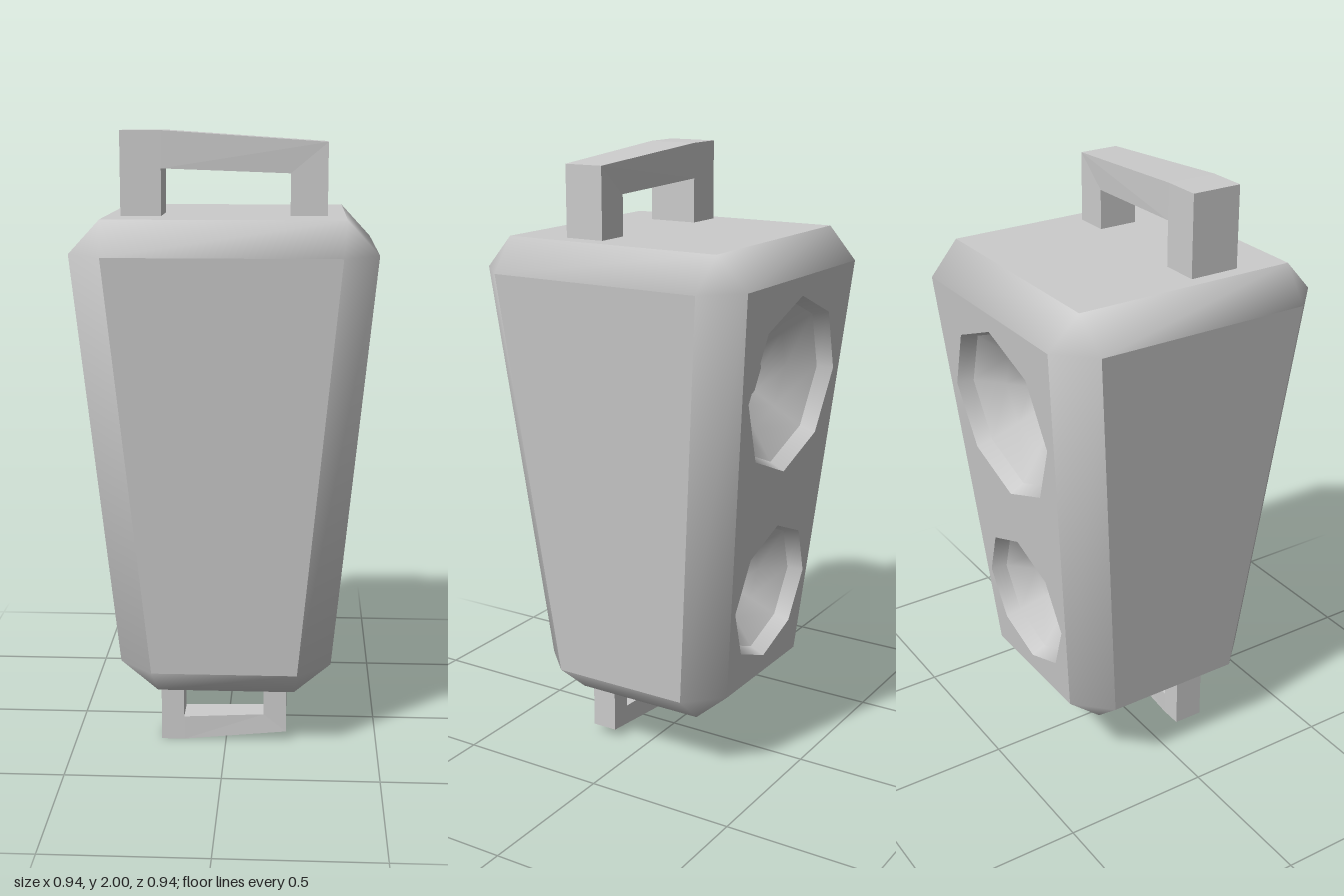
import * as THREE from 'three';
import { mergeVertices } from 'three/addons/utils/BufferGeometryUtils.js';

const grey = new THREE.MeshStandardMaterial({ color: 0xcccccc });
const greyDouble = new THREE.MeshStandardMaterial({ color: 0xcccccc, side: THREE.DoubleSide });

// Cabinet sizes: height, flat half width, outer half depth
const TOP = { y: 1.74, a: 0.372, b: 0.372 };
const UPPER = { y: 1.635, a: 0.36, b: 0.47 };
const LOWER = { y: 0.285, a: 0.235, b: 0.345 };
const BASE = { y: 0.18, a: 0.225, b: 0.225 };

function mesh(name, geometry, material = grey) {
  const m = new THREE.Mesh(geometry, material);
  m.name = name;
  return m;
}

// Eight-point ring of a square with cut corners
function ring({ y, a, b }) {
  const pts = [];
  for (let k = 0; k < 4; k++) {
    for (const [x, z] of [[-a, b], [a, b]]) {
      const c = [1, 0, -1, 0][k], s = [0, 1, 0, -1][k];
      pts.push(x * c + z * s, y, -x * s + z * c);
    }
  }
  return pts;
}

// Smooth bevels: top band, four corner strips, bottom band
function bevelGeometry() {
  const index = [];
  for (let level = 0; level < 3; level++) {
    for (let i = 0; i < 8; i++) {
      if (level === 1 && i % 2 === 0) continue; // flat panels go here
      const a = level * 8 + i, b = level * 8 + (i + 1) % 8;
      index.push(a, b, b + 8, a, b + 8, a + 8);
    }
  }
  let g = new THREE.BufferGeometry();
  const pos = [BASE, LOWER, UPPER, TOP].flatMap(ring);
  g.setAttribute('position', new THREE.Float32BufferAttribute(pos, 3));
  g.setIndex(index);
  g = mergeVertices(g);
  g.computeVertexNormals();
  return g;
}

function octagon(r, y) {
  const p = new THREE.Path();
  for (let i = 0; i <= 8; i++) {
    const t = (i * Math.PI) / 4;
    const x = r * Math.sin(t), v = y + r * Math.cos(t);
    if (i === 0) p.moveTo(x, v);
    else p.lineTo(x, v);
  }
  return p;
}

// Recessed eight-sided speaker: rim, cone and centre disc
function speaker(name, r, inner) {
  const g = new THREE.Group();
  g.name = name;
  const lathe = (pts) => new THREE.LatheGeometry(pts.map(([x, y]) => new THREE.Vector2(x, y)), 8).rotateX(Math.PI / 2);
  const lip = r * 0.93;
  const mid = (lip + inner) / 2 - 0.01;
  g.add(mesh('speakerRim', lathe([[r, 0], [lip, -0.05]]), greyDouble));
  g.add(mesh('speakerCone', lathe([[lip, -0.05], [mid, -0.12], [inner, -0.17]]), greyDouble));
  const disc = mesh('speakerCentre', new THREE.CircleGeometry(inner, 8));
  disc.position.z = -0.17;
  g.add(disc);
  return g;
}

// Handle outline extruded, with its depth shrinking from x0 to x1
function handle(name, points, z, half0, half1, x0, x1) {
  const shape = new THREE.Shape(points.map(([x, y]) => new THREE.Vector2(x, y)));
  const g = new THREE.ExtrudeGeometry(shape, { depth: 2, bevelEnabled: false }).translate(0, 0, -1);
  const p = g.attributes.position;
  for (let i = 0; i < p.count; i++) {
    const t = THREE.MathUtils.clamp((p.getX(i) - x0) / (x1 - x0), 0, 1);
    p.setZ(i, z + p.getZ(i) * THREE.MathUtils.lerp(half0, half1, t));
  }
  g.computeVertexNormals();
  return mesh(name, g);
}

export function createModel() {
  const model = new THREE.Group();
  model.name = 'hangingSpeaker';
  model.add(mesh('cabinetBevels', bevelGeometry()));

  // Top and bottom plates
  const top = mesh('topPlate', new THREE.PlaneGeometry(TOP.a * 2, TOP.a * 2).rotateX(-Math.PI / 2));
  top.position.y = TOP.y;
  const base = mesh('bottomPlate', new THREE.PlaneGeometry(BASE.a * 2, BASE.a * 2).rotateX(Math.PI / 2));
  base.position.y = BASE.y;
  model.add(top, base);

  // Four leaning side panels; the back one carries two speakers
  const rise = UPPER.y - LOWER.y, lean = UPPER.b - LOWER.b;
  const height = Math.hypot(rise, lean);
  const speakers = [
    { name: 'largeSpeaker', y: 1.006, r: 0.288, inner: 0.102 },
    { name: 'smallSpeaker', y: 0.296, r: 0.235, inner: 0.07 },
  ];
  ['frontPanel', 'leftPanel', 'backPanel', 'rightPanel'].forEach((name, k) => {
    const side = new THREE.Group();
    side.name = name + 'Side';
    side.rotation.y = (k * Math.PI) / 2;
    const tilt = new THREE.Group();
    tilt.name = name + 'Group';
    tilt.position.set(0, LOWER.y, LOWER.b);
    tilt.rotation.x = Math.atan2(lean, rise);
    const outline = [[-LOWER.a, 0], [LOWER.a, 0], [UPPER.a, height], [-UPPER.a, height]];
    const shape = new THREE.Shape(outline.map(([x, y]) => new THREE.Vector2(x, y)));
    if (name === 'backPanel') {
      for (const s of speakers) {
        shape.holes.push(octagon(s.r, s.y));
        const unit = speaker(s.name, s.r, s.inner);
        unit.position.y = s.y;
        tilt.add(unit);
      }
    }
    tilt.add(mesh(name, new THREE.ShapeGeometry(shape)));
    side.add(tilt);
    model.add(side);
  });

  // Carrying handle on top and smaller loop below
  model.add(handle('topHandle', [
    [-0.327, 1.74], [-0.2, 1.74], [-0.2, 1.885], [0.2, 1.87], [0.2, 1.74],
    [0.315, 1.74], [0.315, 1.965], [-0.2, 2], [-0.327, 2],
  ], 0.129, 0.083, 0.066, -0.2, 0.2));
  model.add(handle('bottomHandle', [
    [-0.215, 0.18], [-0.215, 0], [-0.14, 0], [0.2, 0.03], [0.2, 0.18],
    [0.125, 0.18], [0.125, 0.09], [-0.14, 0.08], [-0.14, 0.18],
  ], 0.16, 0.051, 0.043, -0.14, 0.125));
  return model;
}
